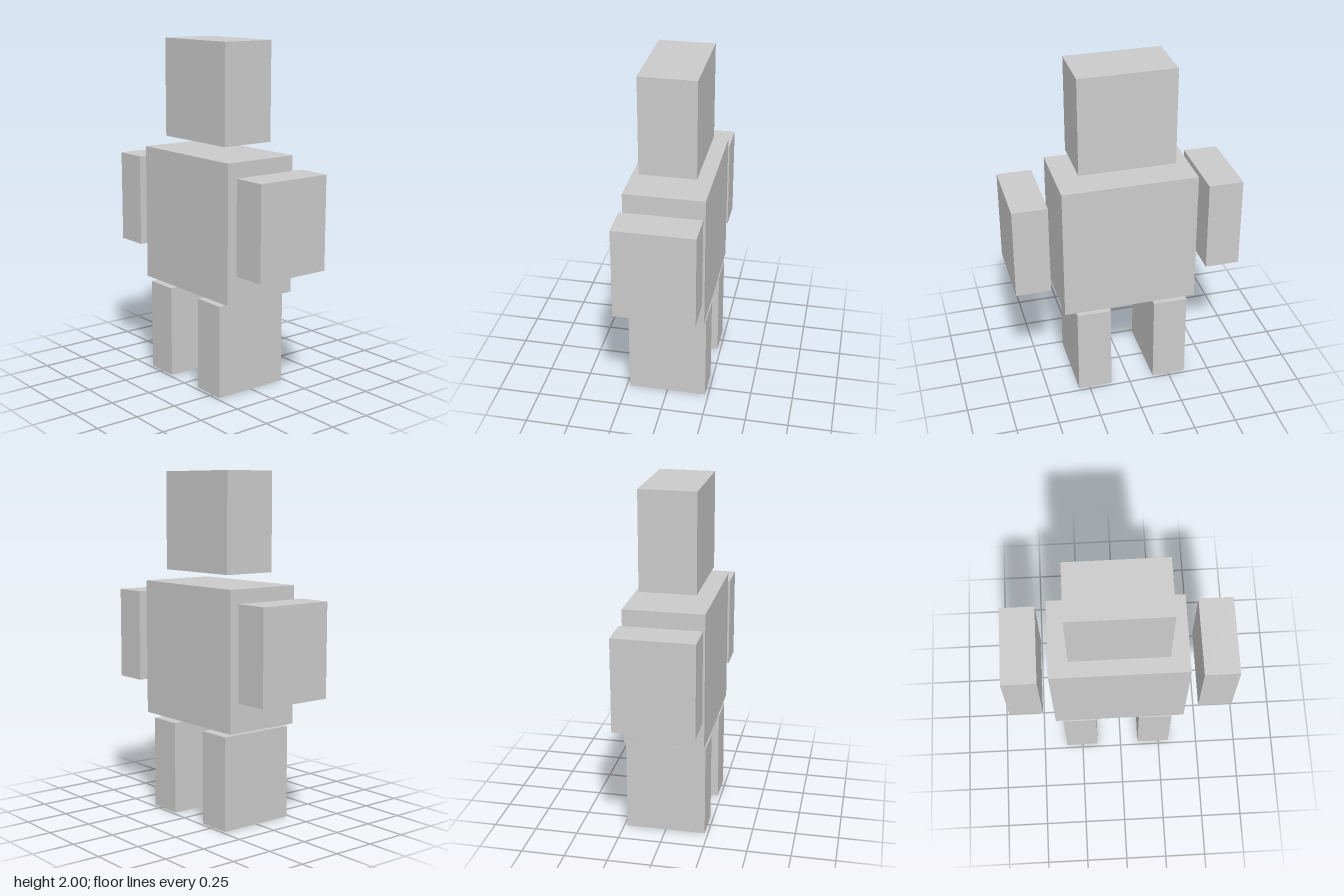
import * as THREE from 'three';

const material = new THREE.MeshStandardMaterial({ color: 0xcccccc, flatShading: true });

// Box given by its extents in x and y and its depth, centred on z = 0
function block(name, [x0, x1], [y0, y1], depth) {
  const mesh = new THREE.Mesh(new THREE.BoxGeometry(x1 - x0, y1 - y0, depth), material);
  mesh.position.set((x0 + x1) / 2, (y0 + y1) / 2, 0);
  mesh.name = name;
  return mesh;
}

export function createModel() {
  const model = new THREE.Group();
  model.name = 'blockFigure';

  const bodyDepth = 0.462;
  const armY = [0.75, 1.29];
  const legY = [0, 0.541];

  model.add(
    block('head', [-0.284, 0.276], [1.43, 2], 0.325),
    block('torso', [-0.398, 0.388], [0.564, 1.361], bodyDepth),
    // Arms float free of the torso
    block('rightArm', [-0.667, -0.465], armY, bodyDepth),
    block('leftArm', [0.465, 0.667], armY, bodyDepth),
    // Legs sit slightly off centre
    block('rightLeg', [-0.353, -0.151], legY, bodyDepth),
    block('leftLeg', [0.113, 0.315], legY, bodyDepth),
  );
  return model;
}
